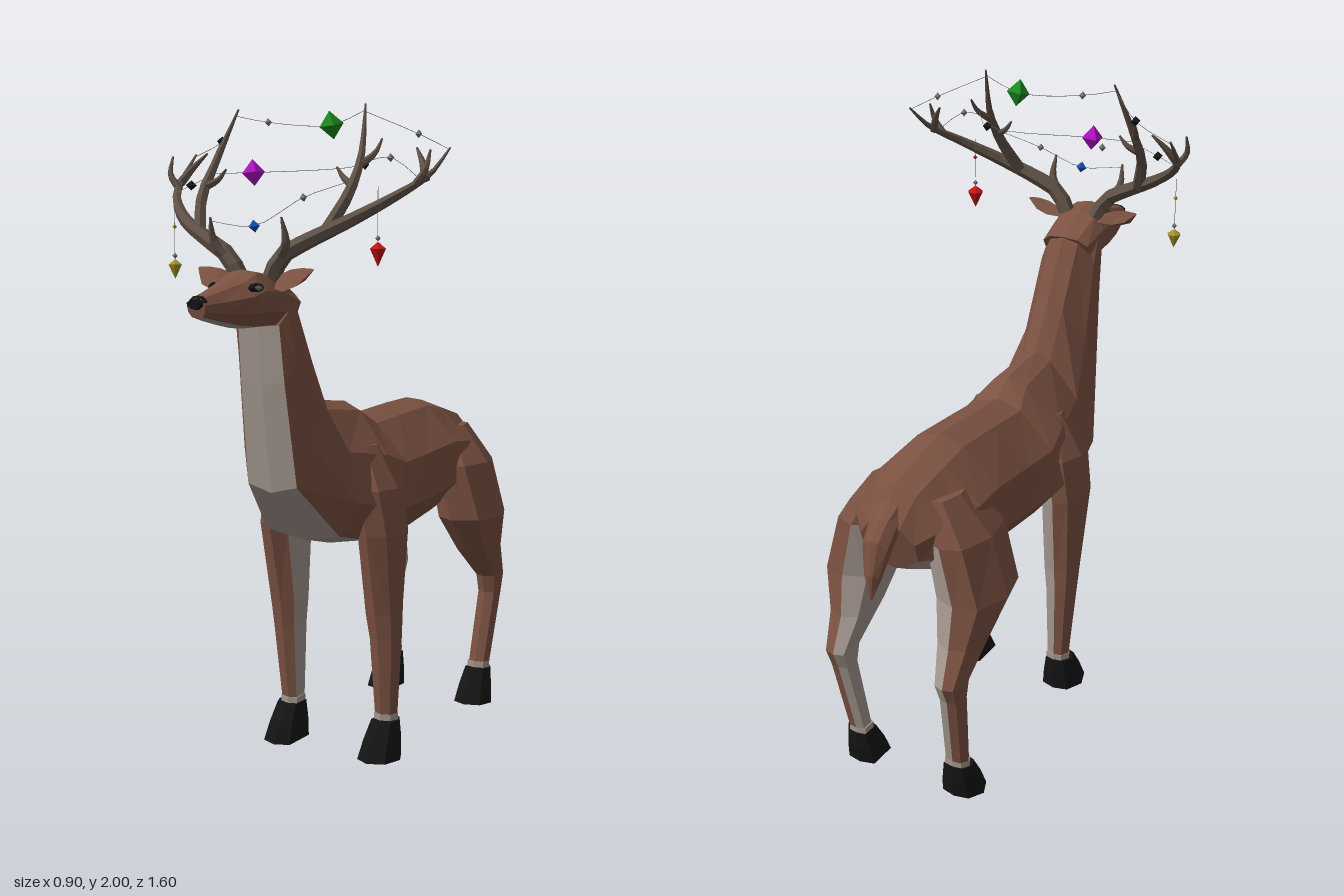
import * as THREE from 'three';

const mat = (color) => new THREE.MeshStandardMaterial({ color, flatShading: true, side: THREE.DoubleSide });
const V = (x, y, z) => new THREE.Vector3(x, y, z);

export function createModel() {
  const root = new THREE.Group();
  const fur = mat(0x7c5242), pale = mat(0xa4978f), black = mat(0x141414), horn = mat(0x5f5146);
  const eyeGrey = mat(0x70757c), silver = mat(0x777777);

  // Skin a list of equal-length closed rings, cap both ends and split the faces by material
  function loft(name, rings, pick, parent = root) {
    const n = rings[0].length, faces = [];
    rings.slice(1).forEach((b, i) => {
      const a = rings[i];
      for (let j = 0; j < n; j++) {
        const k = (j + 1) % n, m = pick(i, j);
        faces.push([m, a[j], b[j], b[k]], [m, a[j], b[k], a[k]]);
      }
    });
    [rings[0], rings.at(-1)].forEach((r, end) => {
      for (let j = 1; j < n - 1; j++) {
        faces.push(end ? [pick(rings.length - 2, 0), r[0], r[j + 1], r[j]] : [pick(0, 0), r[0], r[j], r[j + 1]]);
      }
    });
    // Signed volume about the first point tells which way the faces turn
    const o = rings[0][0];
    let vol = 0;
    for (const [, a, b, c] of faces) {
      vol += a.clone().sub(o).dot(b.clone().sub(o).cross(c.clone().sub(o)));
    }
    const byMat = new Map();
    for (const [m, a, b, c] of faces) {
      if (!byMat.has(m)) byMat.set(m, []);
      byMat.get(m).push(...(vol > 0 ? [a, b, c] : [a, c, b]));
    }
    for (const [m, pts] of byMat) {
      const g = new THREE.BufferGeometry().setFromPoints(pts);
      g.computeVertexNormals();
      const mesh = new THREE.Mesh(g, m);
      mesh.name = m === pale ? name + 'PaleSide' : name;
      parent.add(mesh);
    }
  }

  // Mirrored section: top z,y, bottom z,y and four half widths from top to bottom
  const levels = [0.06, 0.35, 0.7, 0.95];
  function section([tz, ty, bz, by, ...w]) {
    const at = (x, t) => V(x, ty + (by - ty) * t, tz + (bz - tz) * t);
    const half = w.map((x, i) => at(x, levels[i]));
    const other = w.map((x, i) => at(-x, levels[i])).reverse();
    return [at(0, 0), ...half, at(0, 1), ...other];
  }

  // Round tapered rod along a path
  function rod(name, pts, r0, r1, sides, m, parent) {
    const curve = new THREE.CatmullRomCurve3(pts), n = pts.length * 2;
    const f = curve.computeFrenetFrames(n, false), rings = [];
    for (let i = 0; i <= n; i++) {
      const c = curve.getPointAt(i / n), r = r0 + (r1 - r0) * (i / n) ** 1.4, ring = [];
      for (let j = 0; j < sides; j++) {
        const a = (j / sides) * Math.PI * 2;
        ring.push(c.clone().addScaledVector(f.normals[i], r * Math.cos(a)).addScaledVector(f.binormals[i], r * Math.sin(a)));
      }
      rings.push(ring);
    }
    loft(name, rings, () => m, parent);
  }

  // Torso and neck
  loft('body', [
    [-0.71, 0.93, -0.66, 0.76, 0.05, 0.09, 0.09, 0.04],
    [-0.65, 1.02, -0.57, 0.72, 0.07, 0.16, 0.17, 0.08],
    [-0.51, 1.06, -0.46, 0.70, 0.08, 0.19, 0.20, 0.10],
    [-0.40, 1.08, -0.38, 0.69, 0.08, 0.19, 0.20, 0.11],
    [-0.20, 1.07, -0.20, 0.66, 0.08, 0.185, 0.195, 0.11],
    [-0.06, 1.06, -0.04, 0.66, 0.08, 0.19, 0.205, 0.12],
    [0.01, 1.11, 0.10, 0.67, 0.06, 0.175, 0.22, 0.13],
    [0.19, 1.13, 0.26, 0.71, 0.05, 0.14, 0.19, 0.13],
    [0.27, 1.28, 0.43, 0.88, 0.05, 0.11, 0.125, 0.085],
    [0.37, 1.46, 0.475, 1.20, 0.05, 0.095, 0.10, 0.075],
    [0.44, 1.50, 0.49, 1.37, 0.05, 0.085, 0.09, 0.07],
  ].map(section), (i, j) => ((i < 2 ? j >= 3 && j <= 6 : j === 4 || j === 5) ? pale : fur));

  // Head and muzzle
  loft('head', [
    [0.37, 1.465, 0.42, 1.39, 0.05, 0.08, 0.08, 0.05],
    [0.49, 1.525, 0.48, 1.37, 0.06, 0.09, 0.09, 0.06],
    [0.57, 1.535, 0.57, 1.37, 0.05, 0.085, 0.085, 0.05],
    [0.62, 1.51, 0.63, 1.375, 0.045, 0.08, 0.07, 0.045],
    [0.73, 1.48, 0.72, 1.395, 0.025, 0.045, 0.045, 0.03],
    [0.79, 1.465, 0.78, 1.41, 0.018, 0.03, 0.028, 0.018],
  ].map(section), (i, j) => (j === 4 || j === 5 ? pale : fur));
  loft('nose', [
    [0.775, 1.471, 0.775, 1.43, 0.018, 0.03, 0.026, 0.01],
    [0.80, 1.46, 0.798, 1.435, 0.012, 0.022, 0.018, 0.008],
  ].map(section), () => black);

  // Tail, arched and pointed
  loft('tail', [
    [-0.64, 1.0, -0.67, 0.88, 0.03, 0.045, 0.045, 0.03],
    [-0.73, 0.95, -0.70, 0.87, 0.025, 0.045, 0.045, 0.025],
    [-0.775, 0.90, -0.725, 0.83, 0.02, 0.042, 0.04, 0.02],
    [-0.795, 0.80, -0.75, 0.78, 0.012, 0.025, 0.025, 0.012],
    [-0.79, 0.72, -0.785, 0.72, 0.002, 0.004, 0.004, 0.002],
  ].map(section), (i, j) => (j === 4 || j === 5 ? pale : fur));

  // Leg section: y, front z, back z, inner x, outer x
  const legRing = (s) => ([y, zf, zb, xi, xo]) => {
    const p = (u, t) => V(s * (xi + (xo - xi) * u), y, zb + (zf - zb) * t);
    return [p(0.1, 0.85), p(0.45, 1), p(0.85, 0.85), p(1, 0.45), p(0.8, 0.08), p(0.45, 0), p(0.1, 0.1)];
  };
  const legs = {
    frontLeg: [[0.99, 0.14, 0.02, 0.06, 0.155], [0.86, 0.19, -0.02, 0.09, 0.23], [0.72, 0.175, -0.02, 0.115, 0.25],
      [0.46, 0.118, 0.005, 0.12, 0.238], [0.38, 0.105, 0.005, 0.13, 0.232], [0.12, 0.076, 0.012, 0.14, 0.212]],
    hindLeg: [[0.98, -0.44, -0.62, 0.05, 0.15], [0.86, -0.36, -0.66, 0.07, 0.245], [0.68, -0.37, -0.66, 0.10, 0.30],
      [0.55, -0.49, -0.68, 0.125, 0.262], [0.44, -0.615, -0.725, 0.15, 0.24], [0.38, -0.63, -0.70, 0.155, 0.235],
      [0.12, -0.592, -0.645, 0.14, 0.215]],
  };
  const hooves = {
    frontLeg: [[0.115, 0.095, 0.008, 0.132, 0.225], [0.06, 0.135, 0.005, 0.122, 0.235], [0, 0.165, 0.012, 0.112, 0.245]],
    hindLeg: [[0.115, -0.575, -0.652, 0.132, 0.225], [0.06, -0.54, -0.65, 0.122, 0.235], [0, -0.515, -0.64, 0.112, 0.245]],
  };

  for (const s of [1, -1]) {
    const side = s > 0 ? 'left' : 'right';
    for (const kind of ['frontLeg', 'hindLeg']) {
      const g = new THREE.Group();
      g.name = side + (kind === 'frontLeg' ? 'FrontLeg' : 'HindLeg');
      root.add(g);
      loft('leg', legs[kind].map(legRing(s)), (i, j) => (i > 0 && j >= 5 ? pale : fur), g);
      const [, zf, zb, xi, xo] = legs[kind].at(-1);
      loft('pastern', [0.135, 0.1].map((y) => legRing(s)([y, zf + 0.004, zb - 0.003, xi - 0.004, xo + 0.003])), () => pale, g);
      loft('hoof', hooves[kind].map(legRing(s)), () => black, g);
    }

    // Ear: x, middle y, z, half height, half depth
    loft(side + 'Ear', [[0.065, 1.5, 0.5, 0.015, 0.02], [0.12, 1.505, 0.515, 0.03, 0.03], [0.16, 1.515, 0.515, 0.025, 0.025],
      [0.195, 1.535, 0.505, 0.003, 0.003]].map(([x, y, z, h, d]) =>
      [V(s * x, y + h, z - d * 0.4), V(s * x, y, z + d * 0.3), V(s * x, y - h, z + d), V(s * x, y - h * 0.4, z - d)]), () => fur);

    // Eye
    for (const [m, x, r] of [[black, 0.072, 1.25], [eyeGrey, 0.077, 0.85]]) {
      const eye = new THREE.Mesh(new THREE.OctahedronGeometry(0.02 * r, 1), m);
      eye.name = side + 'Eye';
      eye.scale.set(0.5, 0.55, 1.2);
      eye.position.set(s * x, 1.487, 0.605);
      eye.rotation.y = -s * 0.25;
      root.add(eye);
    }

    // Antler: main beam with four tines
    const antler = new THREE.Group();
    antler.name = side + 'Antler';
    root.add(antler);
    const branch = (name, r, ...p) => rod(name, p.map(([x, y, z]) => V(s * x, y, z)), r, 0.003, 6, horn, antler);
    branch('beam', 0.027, [0.05, 1.5, 0.5], [0.09, 1.57, 0.505], [0.17, 1.615, 0.49], [0.28, 1.67, 0.45],
      [0.38, 1.74, 0.36], [0.43, 1.8, 0.26], [0.445, 1.875, 0.17]);
    branch('browTine', 0.018, [0.085, 1.56, 0.505], [0.122, 1.61, 0.53], [0.12, 1.68, 0.55]);
    branch('tallTine', 0.02, [0.215, 1.64, 0.47], [0.25, 1.74, 0.41], [0.25, 1.84, 0.34], [0.22, 2.0, 0.26]);
    branch('innerTine', 0.012, [0.25, 1.77, 0.39], [0.215, 1.79, 0.375], [0.19, 1.82, 0.37]);
    branch('backTine', 0.012, [0.25, 1.82, 0.355], [0.275, 1.86, 0.3], [0.28, 1.9, 0.27]);
    branch('outerTine', 0.014, [0.425, 1.785, 0.28], [0.4, 1.83, 0.25], [0.365, 1.875, 0.22]);
    branch('tipTine', 0.012, [0.41, 1.77, 0.31], [0.44, 1.81, 0.31], [0.445, 1.865, 0.29]);
  }

  // Hanging gems: colour, x, y, z, radius, vertical stretch
  const ornaments = new THREE.Group();
  ornaments.name = 'ornaments';
  root.add(ornaments);
  const gem = (name, m, x, y, z, r, stretch = 1.15) => {
    const o = new THREE.Mesh(new THREE.OctahedronGeometry(r), m);
    o.name = name;
    o.scale.y = stretch;
    o.position.set(x, y, z);
    o.rotation.set(0.1, x * 7, 0.12);
    ornaments.add(o);
  };
  gem('greenGem', mat(0x1d8a1f), 0.1, 1.945, 0.25, 0.036);
  gem('purpleGem', mat(0xb012c4), -0.11, 1.81, 0.345, 0.034);
  gem('blueGem', mat(0x1450b4), 0.02, 1.655, 0.535, 0.018, 1);
  for (const [name, color, x, y, z, r] of [['redDrop', 0xc41414, 0.29, 1.585, 0.31, 0.026], ['yellowDrop', 0xa8942a, -0.39, 1.533, 0.36, 0.022]]) {
    const m = mat(color);
    // Pendant with a short crown and a long point
    loft(name, [[r * 0.9, 0.15], [r * 0.25, 1], [-r * 1.7, 0.02]].map(([h, w]) =>
      [0, 1, 2, 3, 4, 5].map((j) => V(x + r * w * Math.cos(j * Math.PI / 3), y + h, z + r * w * Math.sin(j * Math.PI / 3)))), () => m, ornaments);
    gem('bead', silver, x, y + r + 0.01, z, 0.008);
    gem('bead', m, x, y + 0.12, z, 0.007);
    rod('thread', [V(x, y, z), V(x, y + 0.1, z), V(x, y + 0.18, z)], 0.001, 0.001, 3, silver, ornaments);
  }
  [[-0.31, 1.91, 0.22], [-0.325, 1.775, 0.36], [0.205, 1.83, 0.24]].forEach((p) => gem('blackGem', black, ...p, 0.017, 0.9));
  [[-0.12, 1.96, 0.25], [0.36, 1.915, 0.2], [-0.19, 1.81, 0.25], [0.11, 1.735, 0.42], [0.33, 1.845, 0.31]]
    .forEach((p) => gem('smallGem', silver, ...p, 0.011));

  // Threads strung between the antlers
  [
    [[-0.445, 1.87, 0.17], [-0.31, 1.91, 0.22], [-0.22, 1.98, 0.27]],
    [[-0.22, 1.98, 0.27], [-0.12, 1.96, 0.25], [0.1, 1.945, 0.25], [0.22, 1.98, 0.27]],
    [[0.22, 1.98, 0.27], [0.36, 1.915, 0.2], [0.445, 1.87, 0.17]],
    [[-0.4, 1.75, 0.35], [-0.325, 1.775, 0.36], [-0.25, 1.8, 0.37]],
    [[-0.25, 1.81, 0.36], [-0.11, 1.81, 0.345], [0.205, 1.83, 0.24], [0.27, 1.86, 0.3]],
    [[-0.12, 1.67, 0.55], [0.02, 1.655, 0.535], [0.11, 1.735, 0.42], [0.25, 1.78, 0.39]],
    [[0.25, 1.83, 0.35], [0.33, 1.845, 0.31], [0.42, 1.78, 0.29]],
  ].forEach((t) => rod('thread', t.map((p) => V(...p)), 0.001, 0.001, 3, silver, ornaments));

  return root;
}
